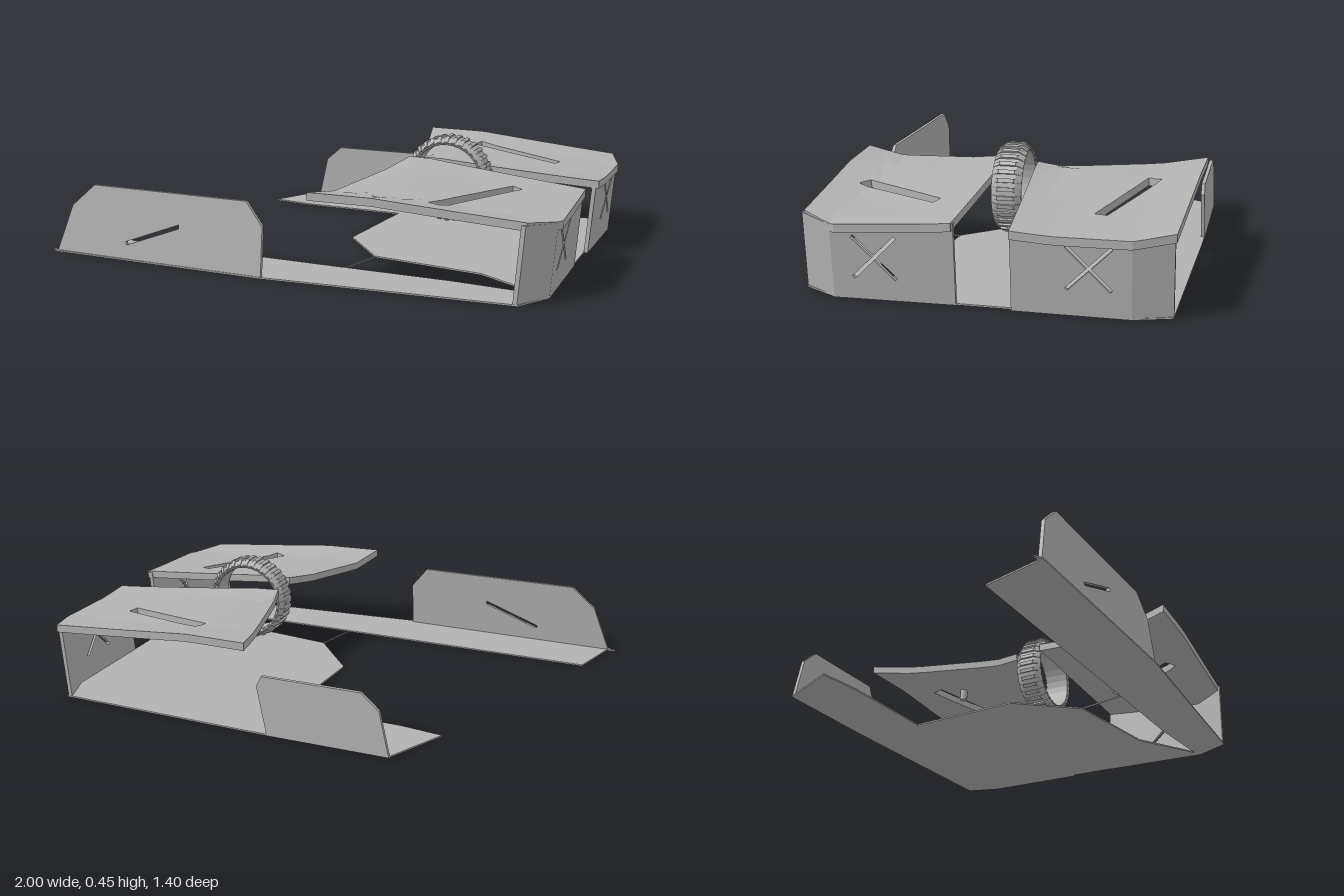
import * as THREE from 'three';

const V2 = (p) => new THREE.Vector2(p[0], p[1]);

// Piecewise linear lookup through [[key, value], ...] with rising keys
function lookup(table, k) {
  if (k <= table[0][0]) return table[0][1];
  for (let i = 1; i < table.length; i++) {
    const [k0, v0] = table[i - 1], [k1, v1] = table[i];
    if (k <= k1) return v0 + (v1 - v0) * (k - k0) / (k1 - k0);
  }
  return table[table.length - 1][1];
}

// Extruded sheet with optional holes
function sheet(outline, depth, holes = []) {
  const shape = new THREE.Shape(outline.map(V2));
  holes.forEach((h) => shape.holes.push(new THREE.Path(h.map(V2))));
  return new THREE.ExtrudeGeometry(shape, { depth, bevelEnabled: false });
}

// Moves every vertex by a rule and refreshes the normals
function warp(geometry, rule) {
  const p = geometry.attributes.position, v = new THREE.Vector3();
  for (let i = 0; i < p.count; i++) {
    v.fromBufferAttribute(p, i);
    rule(v);
    p.setXYZ(i, v.x, v.y, v.z);
  }
  geometry.computeVertexNormals();
  return geometry;
}

// Outline of a thin X centred at (cx, cy)
function crossHole(cx, cy) {
  const L = 0.108, w = 0.006, pts = [];
  for (let k = 0; k < 4; k++) {
    const a = Math.PI / 4 + k * Math.PI / 2, c = Math.cos(a), s = Math.sin(a);
    for (const [x, y] of [[L, -w], [L, w], [w, w]]) pts.push([cx + x * c - y * s, cy + x * s + y * c]);
  }
  return pts;
}

// Slab lofted between an outer rim and a slot: pairs of [outerX, outerZ, slotX, slotZ]
function slottedShell(pairs, height, thickness) {
  const steps = 8, rings = 8, loops = [];
  pairs.forEach((p, i) => {
    const q = pairs[(i + 1) % pairs.length];
    for (let s = 0; s < steps; s++) {
      const m = p.map((v, k) => v + (q[k] - v) * s / steps);
      const row = [];
      for (const drop of [0, thickness]) {
        for (let r = 0; r <= rings; r++) {
          const t = drop ? 1 - r / rings : r / rings;
          const x = m[0] + (m[2] - m[0]) * t, z = m[1] + (m[3] - m[1]) * t;
          row.push([x, height(x, z) - drop, z]);
        }
      }
      loops.push(row);
    }
  });
  const pos = [];
  loops.forEach((row, i) => {
    const next = loops[(i + 1) % loops.length];
    row.forEach((a, j) => {
      const k = (j + 1) % row.length;
      pos.push(...a, ...row[k], ...next[k], ...a, ...next[k], ...next[j]);
    });
  });
  const g = new THREE.BufferGeometry();
  g.setAttribute('position', new THREE.Float32BufferAttribute(pos, 3));
  g.computeVertexNormals();
  return g;
}

export function createModel() {
  const model = new THREE.Group();
  const grey = new THREE.MeshStandardMaterial({ color: 0xb2b2b2 });
  grey.name = 'grey';
  const add = (name, geometry, parent = model) => {
    const mesh = new THREE.Mesh(geometry, grey);
    mesh.name = name;
    parent.add(mesh);
    return mesh;
  };

  // Thin base plate with two arms, outline given as x, z
  const base = [
    [-1, 0.655], [-0.97, 0.675], [-0.06, 0.7], [0.12, 0.69], [0.89, 0.65], [0.965, 0.52], [0.955, 0.08],
    [0.955, -0.11], [0.97, -0.52], [0.93, -0.655], [0.12, -0.69], [-0.44, -0.7], [-0.56, -0.46],
    [-0.39, -0.435], [0.06, -0.42], [0.03, 0.04], [0.22, 0.27], [0.67, 0.34], [0.93, 0.5],
    [0.6, 0.47], [0.17, 0.46], [-0.9, 0.43], [-0.965, 0.655],
  ].map(([x, z]) => [x, -z]);
  add('basePlate', sheet(base, 0.006).rotateX(-Math.PI / 2));
  add('baseTie', sheet([[0.17, -0.46], [0.174, -0.46], [0.224, -0.27], [0.22, -0.27]], 0.005).rotateX(-Math.PI / 2));

  // Dished button shells: heights across z at the free end and at the wall end
  const leftFree = [[0.05, 0.365], [0.2, 0.34], [0.52, 0.312], [0.68, 0.335]];
  const leftWall = [[0.09, 0.302], [0.2, 0.293], [0.52, 0.275], [0.65, 0.287]];
  const rightFree = [[-0.7, 0.355], [-0.52, 0.332], [-0.15, 0.325], [-0.06, 0.345]];
  const rightWall = [[-0.66, 0.298], [-0.52, 0.283], [-0.25, 0.282], [-0.11, 0.292]];
  const dish = (free, wall) => (x, z) => {
    const t = THREE.MathUtils.clamp((x - 0.36) / 0.63, 0, 1);
    return lookup(free, z) * (1 - t) + lookup(wall, z) * t;
  };
  add('frontButton', slottedShell([
    [0.28, 0.05, 0.74, 0.195], [0.99, 0.09, 0.78, 0.215], [1, 0.5, 0.68, 0.384],
    [0.91, 0.64, 0.575, 0.56], [0.4, 0.67, 0.525, 0.53], [0.12, 0.68, 0.525, 0.53],
  ], dish(leftFree, leftWall), 0.03));
  add('backButton', slottedShell([
    [0.12, -0.7, 0.4, -0.55], [0.37, -0.69, 0.4, -0.55], [0.95, -0.66, 0.78, -0.405],
    [1, -0.52, 0.78, -0.405], [1, -0.11, 0.77, -0.36], [0.28, -0.06, 0.38, -0.5],
  ], dish(rightFree, rightWall), 0.03));

  // End walls under the shells, a main panel with an X cut and a turned corner panel
  const wall = (name, plan, top, zs, holes = []) => {
    const outline = [];
    zs.forEach((z) => outline.push([-z, 0]));
    [...zs].reverse().forEach((z) => outline.push([-z, lookup(top, z) - 0.004]));
    const g = sheet(outline, 0.016, holes).rotateY(Math.PI / 2);
    add(name, warp(g, (v) => { v.x += lookup(plan, v.z) + 0.08 * v.y - 0.016; }));
  };
  const leftPlan = [[0.08, 0.958], [0.52, 0.966], [0.65, 0.885]];
  const rightPlan = [[-0.655, 0.925], [-0.52, 0.97], [-0.11, 0.968]];
  wall('frontEndWall', leftPlan, leftWall, [0.52, 0.2, 0.085], [crossHole(-0.367, 0.157)]);
  wall('frontCornerWall', leftPlan, leftWall, [0.65, 0.52]);
  wall('backEndWall', rightPlan, rightWall, [-0.11, -0.25, -0.52], [crossHole(0.375, 0.172)]);
  wall('backCornerWall', rightPlan, rightWall, [-0.52, -0.655]);

  // Upright side grips
  const frontGrip = sheet(
    [[-0.97, 0], [-0.06, 0], [-0.06, 0.19], [-0.13, 0.277], [-0.8, 0.277], [-0.9, 0.19]], 0.014,
    [[[-0.645, 0.06], [-0.415, 0.145], [-0.415, 0.16], [-0.65, 0.072]]]);
  add('frontGrip', warp(frontGrip, (v) => { v.z += 0.656 + 0.03 * (v.x + 0.97) - 0.11 * v.y; }));
  const backGrip = sheet(
    [[-0.44, 0], [0.04, 0], [0.08, 0.19], [0.06, 0.23], [-0.33, 0.23], [-0.4, 0.17]], 0.014);
  add('backGrip', warp(backGrip, (v) => { v.z += -0.7 + 0.015 * (v.x + 0.44) + 0.02 * v.y; }));

  // Scroll wheel: open ring with small ribs across the tread
  const wheel = new THREE.Group();
  wheel.name = 'scrollWheel';
  wheel.position.set(0.43, 0.282, -0.003);
  model.add(wheel);
  const profile = [[0.138, -0.05], [0.148, -0.057], [0.163, -0.035], [0.163, 0.035], [0.148, 0.057], [0.138, 0.05], [0.138, -0.05]];
  const ring = new THREE.LatheGeometry(profile.map(V2), 32).rotateX(Math.PI / 2).toNonIndexed();
  ring.computeVertexNormals();
  add('wheelRing', ring, wheel);
  const rib = sheet([[0.14, -0.055], [0.151, -0.055], [0.17, -0.03], [0.17, 0.03], [0.151, 0.055], [0.14, 0.055]], 0.015);
  rib.translate(0, 0, -0.0075).rotateX(Math.PI / 2);
  const ribs = 32;
  for (let i = 0; i < ribs; i++) add('wheelRib', rib, wheel).rotation.z = i * Math.PI * 2 / ribs;

  // Switch plunger under the back button
  add('plunger', new THREE.CylinderGeometry(0.016, 0.016, 0.06, 12).translate(0.43, 0.28, -0.41));

  return model;
}
